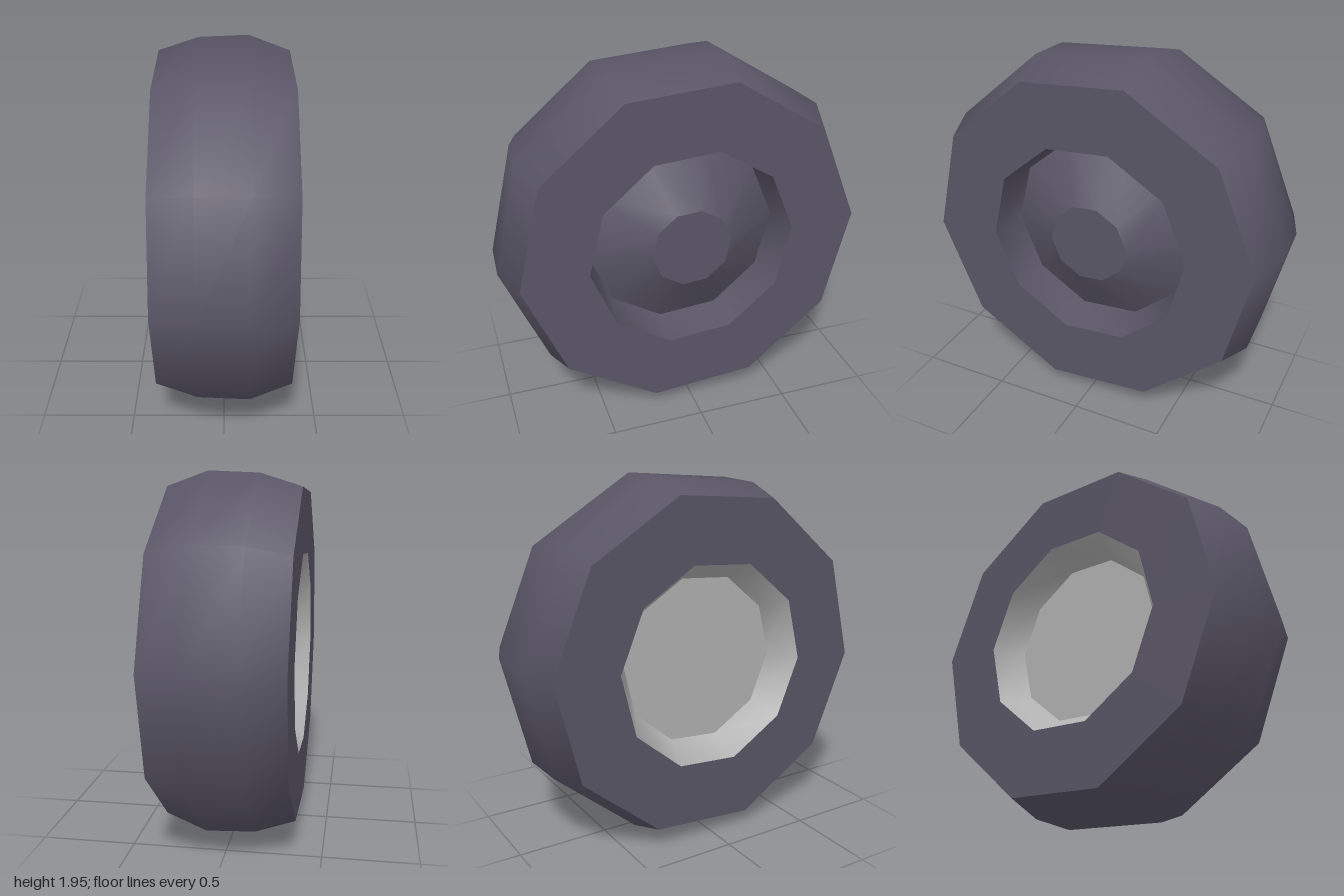
import * as THREE from 'three';
import { toCreasedNormals } from 'three/addons/utils/BufferGeometryUtils.js';

const SIDES = 10;
const TURN = 0.077; // small roll of the ten-sided outline
const AXLE_HEIGHT = 0.977;

// Revolve [radius, x] points around the x axis, keeping sharp edges
function revolve(name, points, material) {
  const profile = points.map(([r, x]) => new THREE.Vector2(r, x));
  const geometry = new THREE.LatheGeometry(profile, SIDES, TURN, Math.PI * 2);
  geometry.rotateZ(-Math.PI / 2);
  const mesh = new THREE.Mesh(toCreasedNormals(geometry, 0.75), material);
  mesh.name = name;
  return mesh;
}

// Flat ten-sided plate facing +x (dir 1) or -x (dir -1)
function plate(name, radius, x, dir, material) {
  const geometry = new THREE.CircleGeometry(radius, SIDES, dir > 0 ? TURN : Math.PI - TURN);
  geometry.rotateY(dir * Math.PI / 2);
  const mesh = new THREE.Mesh(geometry, material);
  mesh.name = name;
  mesh.position.x = x;
  return mesh;
}

export function createModel() {
  const rubber = new THREE.MeshStandardMaterial({ color: 0x595566 });
  rubber.name = 'darkRubber';
  const metal = new THREE.MeshStandardMaterial({ color: 0xb0b0b0 });
  metal.name = 'greyMetal';

  const wheel = new THREE.Group();
  wheel.name = 'wheel';
  wheel.position.y = AXLE_HEIGHT;

  // Tyre: inner sidewall, crowned tread, outer sidewall
  wheel.add(revolve('tyre', [
    [0.562, -0.35], [0.922, -0.35], [0.992, -0.135],
    [1.003, 0.13], [0.922, 0.35], [0.562, 0.35],
  ], rubber));

  // Outer recess with a raised hub
  wheel.add(revolve('rimWall', [[0.562, 0.35], [0.527, 0.14]], rubber));
  wheel.add(revolve('hubCone', [[0.527, 0.14], [0.22, 0.32]], rubber));
  wheel.add(plate('hubCap', 0.22, 0.32, 1, rubber));

  // Inner recess
  wheel.add(revolve('innerRecessWall', [[0.465, -0.195], [0.562, -0.35]], metal));
  wheel.add(plate('innerRecessFloor', 0.465, -0.195, -1, metal));

  const model = new THREE.Group();
  model.name = 'model';
  model.add(wheel);
  return model;
}
